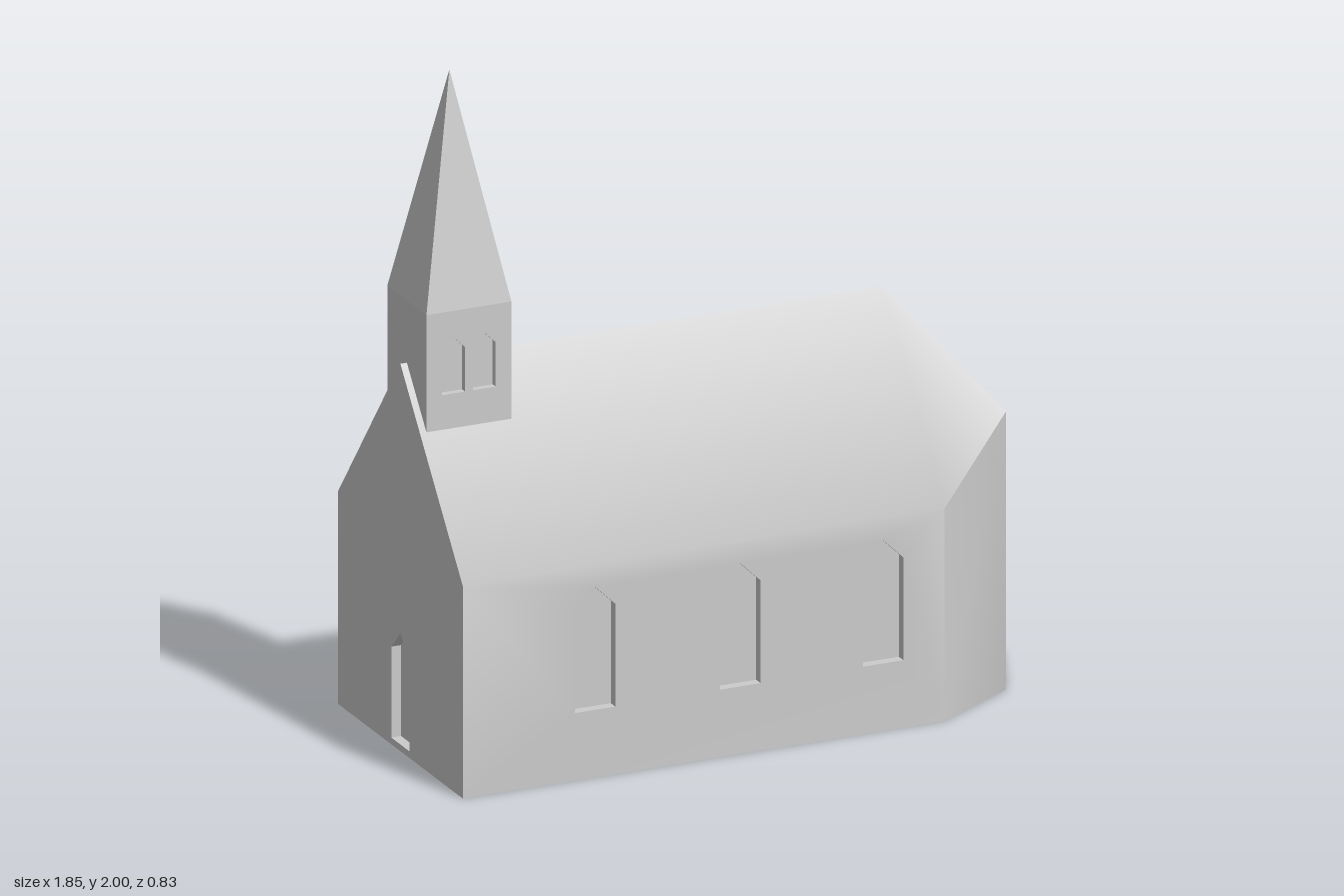
import * as THREE from 'three';
import { toCreasedNormals } from 'three/addons/utils/BufferGeometryUtils.js';

const stone = new THREE.MeshStandardMaterial({ color: 0xcccccc });
stone.name = 'paleStone';

// Nave and apse dimensions
const WEST = -0.925, BEND = 0.55, HALF = 0.415, EAVE = 0.63, RIDGE = 1.15;
const APSE_X = 0.81, APSE_Z = 0.26, APSE_Y = 0.826, TIP_X = 0.922, TIP_Y = 0.686;

// Adds a convex face, corners counter-clockwise from outside
function face(out, ...p) {
  for (let i = 1; i < p.length - 1; i++) out.push(...p[0], ...p[i], ...p[i + 1]);
}

// Adds a flat outline with holes, placed in space by map(u, v, outward)
function flat(out, outline, holes, map, d) {
  const pts = (list) => list.map(([u, v]) => new THREE.Vector2(u, v));
  const shape = new THREE.Shape(pts(outline));
  shape.holes = holes.map((h) => new THREE.Path(pts(h)));
  const g = new THREE.ShapeGeometry(shape).toNonIndexed();
  const a = g.attributes.position;
  for (let i = 0; i < a.count; i++) out.push(...map(a.getX(i), a.getY(i), d));
}

// Wall with recessed openings; the panes are collected separately
function wall(out, panes, outline, openings, map, depth) {
  flat(out, outline, openings, map, 0);
  for (const o of openings) {
    flat(panes, o, [], map, -depth);
    o.forEach(([u, v], i) => {
      const [s, t] = o[(i + 1) % o.length];
      face(out, map(u, v, 0), map(s, t, 0), map(s, t, -depth), map(u, v, -depth));
    });
  }
}

// Pointed opening: centre, half width, sill, shoulder and peak heights
const pointed = (c, w, y0, y1, y2) => [[c - w, y0], [c + w, y0], [c + w, y1], [c, y2], [c - w, y1]];

function mesh(name, positions, crease) {
  const g = new THREE.BufferGeometry();
  g.setAttribute('position', new THREE.Float32BufferAttribute(positions, 3));
  const m = new THREE.Mesh(toCreasedNormals(g, crease), stone);
  m.name = name;
  return m;
}

function buildNave() {
  const body = [], windows = [], door = [];
  const centres = [-0.52, -0.075, 0.362];

  // Long walls with three windows each
  for (const s of [1, -1]) {
    const a = Math.min(s * WEST, s * BEND), b = Math.max(s * WEST, s * BEND);
    wall(body, windows, [[a, 0], [b, 0], [b, EAVE], [a, EAVE]],
      centres.map((c) => pointed(s * c, 0.062, 0.2, 0.505, 0.565)),
      (u, v, d) => [s * u, v, s * (HALF + d)], 0.03);
  }

  // West gable with the door
  wall(body, door, [[-HALF, 0], [HALF, 0], [HALF, EAVE], [0, RIDGE], [-HALF, EAVE]],
    [pointed(0, 0.06, 0.02, 0.29, 0.35)], (u, v, d) => [WEST - d, v, u], 0.03);

  // Apse walls and roof slopes, mirrored in z
  for (const s of [1, -1]) {
    const add = (...p) => {
      const q = p.map(([x, y, z]) => [x, y, s * z]);
      face(body, ...(s > 0 ? q : q.reverse()));
    };
    add([BEND, 0, HALF], [APSE_X, 0, APSE_Z], [APSE_X, APSE_Y, APSE_Z], [BEND, EAVE, HALF]);
    add([APSE_X, 0, APSE_Z], [TIP_X, 0, 0], [TIP_X, TIP_Y, 0], [APSE_X, APSE_Y, APSE_Z]);
    add([BEND, RIDGE, 0], [WEST, RIDGE, 0], [WEST, EAVE, HALF], [BEND, EAVE, HALF], [APSE_X, APSE_Y, APSE_Z]);
  }

  // Hipped east end of the roof
  face(body, [BEND, RIDGE, 0], [APSE_X, APSE_Y, APSE_Z], [TIP_X, TIP_Y, 0], [APSE_X, APSE_Y, -APSE_Z]);

  // Underside
  face(body, [WEST, 0, -HALF], [BEND, 0, -HALF], [APSE_X, 0, -APSE_Z], [TIP_X, 0, 0],
    [APSE_X, 0, APSE_Z], [BEND, 0, HALF], [WEST, 0, HALF]);

  return [mesh('naveAndApse', body, 0.7), mesh('naveWindows', windows, 0.1), mesh('westDoor', door, 0.1)];
}

function buildTower() {
  const walls = [], windows = [], spire = [];
  const cx = -0.775, h = 0.13, y0 = 0.95, y1 = 1.335;
  const sides = [
    (u, v, d) => [cx + u, v, h + d],
    (u, v, d) => [cx + h + d, v, -u],
    (u, v, d) => [cx - u, v, -h - d],
    (u, v, d) => [cx - h - d, v, u],
  ];
  sides.forEach((map, i) => {
    // Paired belfry windows on the front and back only
    const pair = i % 2 ? [] : [-1, 1].map((s) => pointed(s * 0.047, 0.035, 1.09, 1.222, 1.256));
    wall(walls, windows, [[-h, y0], [h, y0], [h, y1], [-h, y1]], pair, map, 0.02);
    face(spire, map(-h, y1, 0), map(h, y1, 0), [cx, 2, 0]);
  });
  return [mesh('bellTower', walls, 0.1), mesh('belfryWindows', windows, 0.1), mesh('spire', spire, 0.1)];
}

export function createModel() {
  const church = new THREE.Group();
  church.name = 'church';
  church.add(...buildNave(), ...buildTower());
  return church;
}
